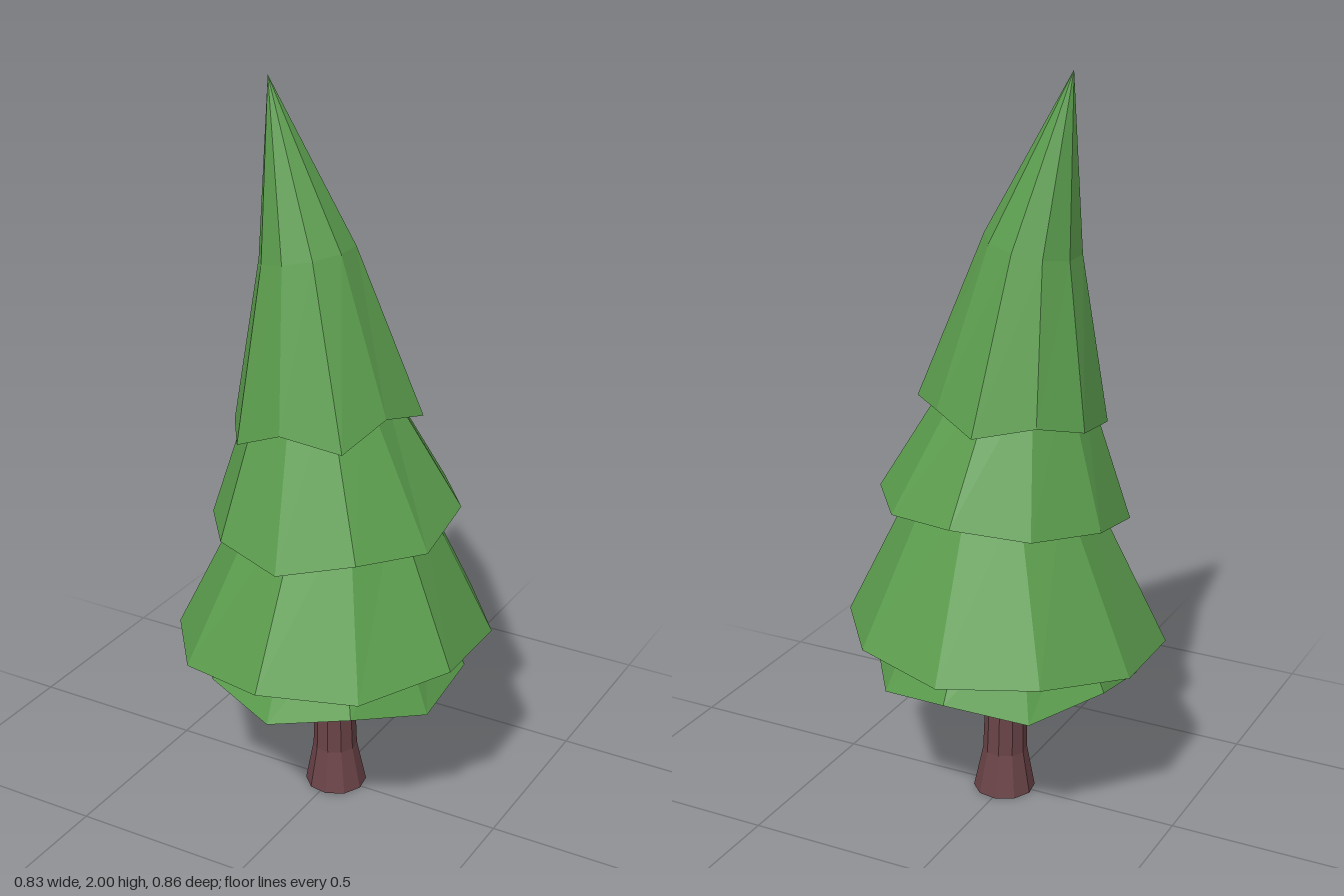
import * as THREE from 'three';

const SIDES = 10;

// Ring of points, starting at the front (+z) and turning towards +x.
// y may be a number or a list with one height per corner.
function ring(cx, cz, radius, y, phase = 0) {
  return Array.from({ length: SIDES }, (_, k) => {
    const a = phase + (k / SIDES) * Math.PI * 2;
    const h = Array.isArray(y) ? y[k % y.length] : y;
    return new THREE.Vector3(cx + Math.sin(a) * radius, h, cz + Math.cos(a) * radius);
  });
}

// Skin a stack of rings, listed from the underside centre up to the top.
function loft(rings) {
  const out = [];
  const tri = (a, b, c) => {
    const area = b.clone().sub(a).cross(c.clone().sub(a)).length();
    if (area > 1e-7) for (const p of [a, b, c]) out.push(p.x, p.y, p.z);
  };
  for (let i = 0; i < rings.length - 1; i++) {
    for (let k = 0; k < SIDES; k++) {
      const n = (k + 1) % SIDES;
      const lo = rings[i], hi = rings[i + 1];
      tri(lo[k], lo[n], hi[n]);
      tri(lo[k], hi[n], hi[k]);
    }
  }
  const geo = new THREE.BufferGeometry();
  geo.setAttribute('position', new THREE.Float32BufferAttribute(out, 3));
  geo.computeVertexNormals();
  return geo;
}

export function createModel() {
  const tree = new THREE.Group();
  tree.name = 'pineTree';

  const needles = new THREE.MeshStandardMaterial({ name: 'needleGreen', color: 0x5c9e4e, flatShading: true });
  const bark = new THREE.MeshStandardMaterial({ name: 'barkBrown', color: 0x6a4347, flatShading: true });

  const add = (name, rings, material) => {
    const mesh = new THREE.Mesh(loft(rings), material);
    mesh.name = name;
    tree.add(mesh);
  };

  // Trunk with a flared foot
  add('trunk', [
    ring(0.005, -0.005, 0, 0),
    ring(0.005, -0.005, 0.085, 0, 0.16),
    ring(0.003, -0.004, 0.061, 0.12, 0.16),
    ring(0, 0, 0.052, 0.45, 0.16),
  ], bark);

  // Lowest skirt, with a zigzag hem
  add('bottomSkirt', [
    ring(0, 0, 0, 0.42),
    ring(0.003, 0, 0.36, [0.375, 0.415]),
    ring(0, 0, 0.25, 0.62),
    ring(0, 0, 0, 0.62),
  ], needles);

  // Widest skirt
  add('lowerSkirt', [
    ring(0, 0, 0, 0.54),
    ring(0, 0, 0.432, [0.505, 0.5, 0.53, 0.52, 0.52, 0.5, 0.51, 0.48, 0.47, 0.48], 0.03),
    ring(0.012, 0, 0.21, 0.95, 0.03),
    ring(0.012, 0, 0, 0.95),
  ], needles);

  // Middle skirt
  add('upperSkirt', [
    ring(0, 0, 0, 0.89),
    ring(0.008, 0.003, 0.334, [0.805, 0.85, 0.84, 0.885, 0.88, 0.895, 0.87, 0.855, 0.82, 0.83], 0.035),
    ring(-0.035, 0.01, 0.155, 1.25, 0.035),
    ring(-0.035, 0.01, 0, 1.25),
  ], needles);

  // Bent top cone with an uneven hem
  const hem = [
    [-0.015, 1.15, 0.25], [0.145, 1.12, 0.215], [0.2, 1.18, 0.085], [0.226, 1.14, -0.07],
    [0.11, 1.15, -0.18], [-0.02, 1.11, -0.24], [-0.17, 1.14, -0.175], [-0.255, 1.11, -0.07],
    [-0.248, 1.09, 0.09], [-0.16, 1.085, 0.22],
  ].map((p) => new THREE.Vector3(...p));
  const bend = ring(-0.065, 0.02, 0.126, 1.56);
  for (const p of bend) p.y += 0.2 * (p.x + 0.065);
  add('treeTop', [
    ring(-0.02, 0.01, 0, 1.17),
    hem,
    bend,
    ring(-0.165, 0.035, 0, 2),
  ], needles);

  return tree;
}
